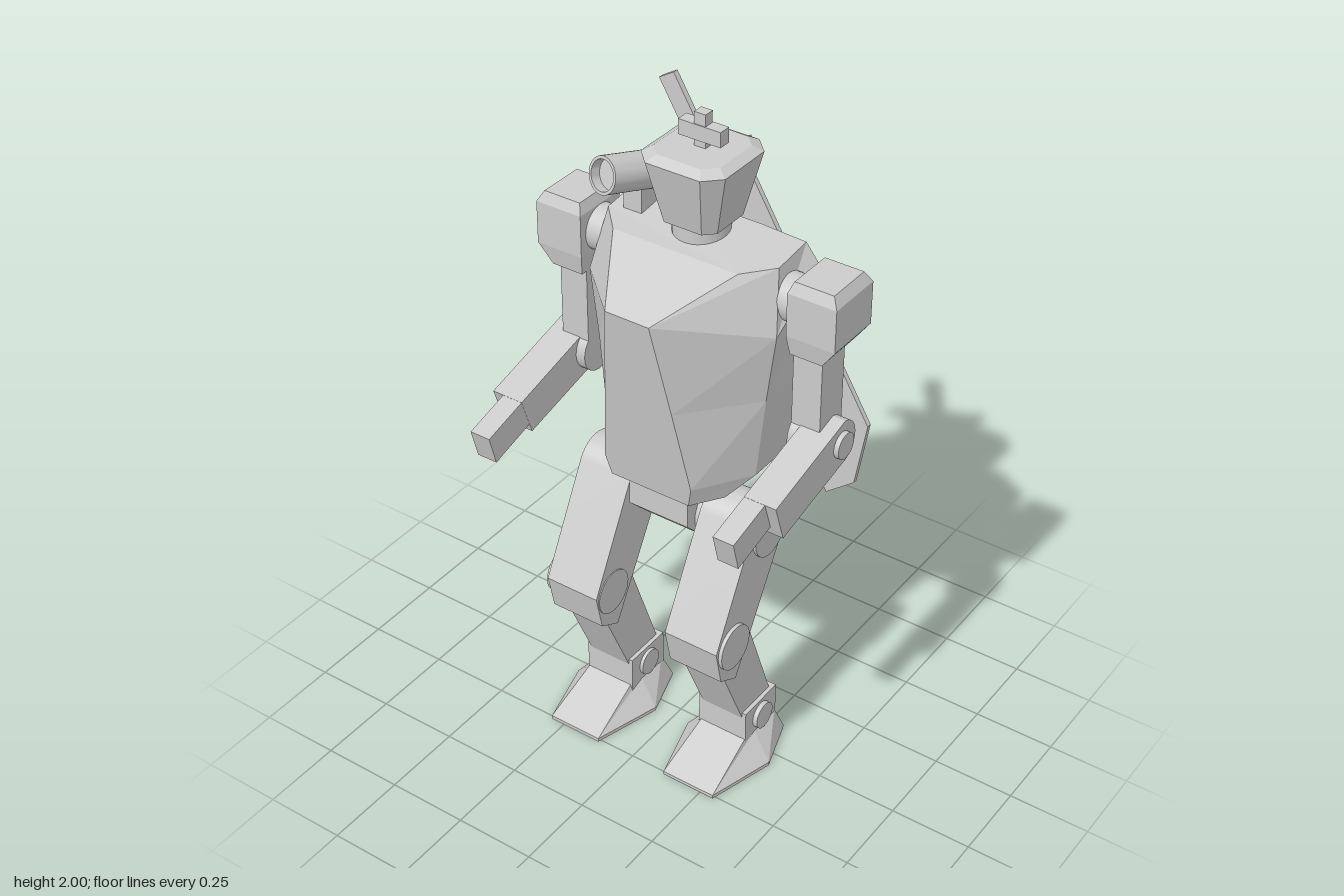
import * as THREE from 'three';
import { toCreasedNormals } from 'three/addons/utils/BufferGeometryUtils.js';

const material = new THREE.MeshStandardMaterial({ color: 0xcccccc });

export function createModel() {
  const model = new THREE.Group();

  const add = (name, geometry, parent = model) => {
    const mesh = new THREE.Mesh(geometry, material);
    mesh.name = name;
    parent.add(mesh);
    return mesh;
  };

  // Faceted skin over stacked loops; points run front, +x, back, -x
  const loft = (loops, side = 1) => {
    if (side < 0) loops = loops.map(l => l.map(([x, y, z]) => [-x, y, z]).reverse());
    const v = [], n = loops[0].length, top = loops[loops.length - 1];
    const tri = (a, b, c) => v.push(...a, ...b, ...c);
    for (let k = 0; k + 1 < loops.length; k++) {
      for (let i = 0; i < n; i++) {
        const j = (i + 1) % n, a = loops[k], b = loops[k + 1];
        tri(a[i], a[j], b[j]);
        tri(a[i], b[j], b[i]);
      }
    }
    for (let i = 1; i + 1 < n; i++) {
      tri(loops[0][0], loops[0][i + 1], loops[0][i]);
      tri(top[0], top[i], top[i + 1]);
    }
    const g = new THREE.BufferGeometry();
    g.setAttribute('position', new THREE.Float32BufferAttribute(v, 3));
    g.computeVertexNormals();
    return g;
  };

  // Mirror the +x half of a loop (front to back) to the -x half
  const symmetric = half => [...half, ...half.map(([x, y, z]) => [-x, y, z]).reverse()];

  // Side profile (z, y) extruded along x, centred on cx
  const plate = (shape, cx, width) => {
    const g = new THREE.ExtrudeGeometry(shape, { depth: width, bevelEnabled: false, curveSegments: 16 });
    g.rotateY(-Math.PI / 2).translate(cx + width / 2, 0, 0);
    return toCreasedNormals(g, 0.5);
  };
  const polygon = pts => new THREE.Shape(pts.map(p => new THREE.Vector2(...p)));
  const box = (w, h, d, x, y, z) => new THREE.BoxGeometry(w, h, d).translate(x, y, z);
  const pin = (r, w, x, y, z) => new THREE.CylinderGeometry(r, r, w, 28).rotateZ(Math.PI / 2).translate(x, y, z);

  // Torso
  add('torso', loft([
    [[.13, .935, .15], [.19, .935, .06], [.19, .935, -.13], [.13, .935, -.15]],
    [[.145, 1, .16], [.25, 1, 0], [.25, 1, -.15], [.15, 1, -.18]],
    [[.11, 1.26, .2], [.278, 1.26, 0], [.285, 1.26, -.17], [.2, 1.26, -.29]],
    [[.07, 1.545, .245], [.305, 1.47, 0], [.315, 1.6, -.19], [.2, 1.565, -.305]],
    [[.2, 1.645, .03], [.275, 1.65, -.05], [.275, 1.665, -.18], [.13, 1.668, -.185]],
  ].map(symmetric)));

  // Waist and pelvis
  add('waist', new THREE.CylinderGeometry(.1, .1, .08, 28).translate(0, .93, -.03));
  add('pelvis', plate(polygon([[.11, .915], [.11, .82], [.02, .73], [-.12, .73], [-.12, .915]]), 0, .2));

  // Neck and head
  add('neck', new THREE.CylinderGeometry(.08, .08, .08, 28).translate(0, 1.68, -.095));
  const octagon = (w, d, cut, y) => symmetric([
    [w - cut, y, d - .097], [w, y, d - cut - .097], [w, y, cut - d - .097], [w - cut, y, -d - .097]]);
  add('head', loft([octagon(.09, .09, .03, 1.695), octagon(.133, .137, .047, 1.885), octagon(.105, .108, .036, 1.902)]));
  add('crestUpright', box(.036, .11, .032, 0, 1.945, -.1));
  add('crestCrossbar', box(.134, .045, .038, 0, 1.943, -.1));

  // Shoulder cannon with a recessed muzzle
  const rear = new THREE.Vector3(-.172, 1.728, -.23), muzzle = new THREE.Vector3(-.232, 1.795, .03);
  const length = rear.distanceTo(muzzle);
  const profile = [[0, 0], [.053, 0], [.053, length], [.044, length], [.044, length - .03], [0, length - .03]];
  const cannon = add('shoulderCannon', toCreasedNormals(
    new THREE.LatheGeometry(profile.map(p => new THREE.Vector2(...p)), 32), 0.6));
  cannon.position.copy(rear);
  cannon.quaternion.setFromUnitVectors(new THREE.Vector3(0, 1, 0), muzzle.clone().sub(rear).normalize());
  add('cannonMount', box(.06, .11, .07, -.205, 1.7, -.1));

  // Sword slung across the back
  const sword = new THREE.Group();
  sword.name = 'sword';
  sword.position.set(-.175, 1.69, -.371);
  sword.rotation.z = THREE.MathUtils.degToRad(31);
  const blade = polygon([[-.125, 0], [-.125, -1.055], [-.01, -1.04], [.13, -.876], [.13, 0]]);
  add('blade', new THREE.ExtrudeGeometry(blade, { depth: .016, bevelEnabled: false }).translate(0, 0, -.008), sword);
  add('guard', box(.34, .035, .028, 0, 0, 0), sword);
  add('grip', box(.057, .25, .018, 0, .125, 0), sword);
  model.add(sword);

  for (const s of [1, -1]) {
    const part = name => (s > 0 ? 'left' : 'right') + name;

    // Shoulder
    const rect = (x0, x1, y, z0, z1) => [[x0, y, z1], [x1, y, z1], [x1, y, z0], [x0, y, z0]];
    add(part('ShoulderJoint'), pin(.068, .1, s * .3, 1.55, -.09));
    add(part('ShoulderArmor'), loft([
      rect(.34, .44, 1.43, -.17, -.01), rect(.333, .483, 1.49, -.178, 0),
      rect(.333, .483, 1.62, -.178, 0), rect(.345, .465, 1.652, -.16, -.015)], s));

    // Arm
    add(part('UpperArm'), box(.09, .32, .11, s * .385, 1.29, -.085));
    add(part('ElbowCap'), pin(.07, .09, s * .385, 1.15, -.08));
    const forearm = new THREE.Shape();
    forearm.moveTo(.24, 1.13).lineTo(.2, 1.01).lineTo(-.095, 1.082);
    forearm.absarc(-.08, 1.15, .07, -1.79, 1.79 - Math.PI * 2 + Math.PI * 2, false);
    const elbow = new THREE.Shape();
    elbow.moveTo(.24, 1.13).lineTo(.2, 1.01).lineTo(-.095, 1.082);
    elbow.absarc(-.08, 1.15, .07, -1.79, 1.79, true);
    add(part('Forearm'), plate(elbow, s * .42, .1));
    add(part('ElbowPin'), pin(.04, .14, s * .415, 1.15, -.08));
    add(part('Hand'), plate(polygon([[.385, 1.09], [.2, 1.14], [.17, 1.05], [.36, .997]]), s * .403, .065));

    // Thigh, rounded at the hip
    const thigh = new THREE.Shape();
    thigh.moveTo(.25, .545).lineTo(.225, .43).lineTo(.15, .39).lineTo(.072, .525).lineTo(-.08, .79);
    thigh.absarc(0, .83, .089, Math.PI + .46, .46, true);
    add(part('Thigh'), plate(thigh, s * .208, .175));
    add(part('HipPin'), pin(.075, .22, s * .195, .825, 0));
    add(part('KneePin'), pin(.07, .19, s * .212, .525, .17));

    // Shin and ankle
    add(part('Shin'), plate(polygon([[.19, .42], [.07, .54], [-.065, .18], [.04, .08]]), s * .205, .14));
    add(part('Ankle'), box(.165, .12, .16, s * .205, .13, 0));
    add(part('AnklePin'), pin(.042, .19, s * .207, .135, 0));

    // Foot
    const sole = y => [[.12, y, .26], [.295, y, .26], [.353, y, .05], [.3, y, -.11], [.11, y, -.11], [.06, y, .05]];
    add(part('Foot'), loft([sole(0), sole(.012),
      [[.13, .09, .08], [.285, .09, .08], [.287, .09, .03], [.285, .09, -.08], [.13, .09, -.08], [.125, .09, .03]]], s));
  }
  return model;
}
